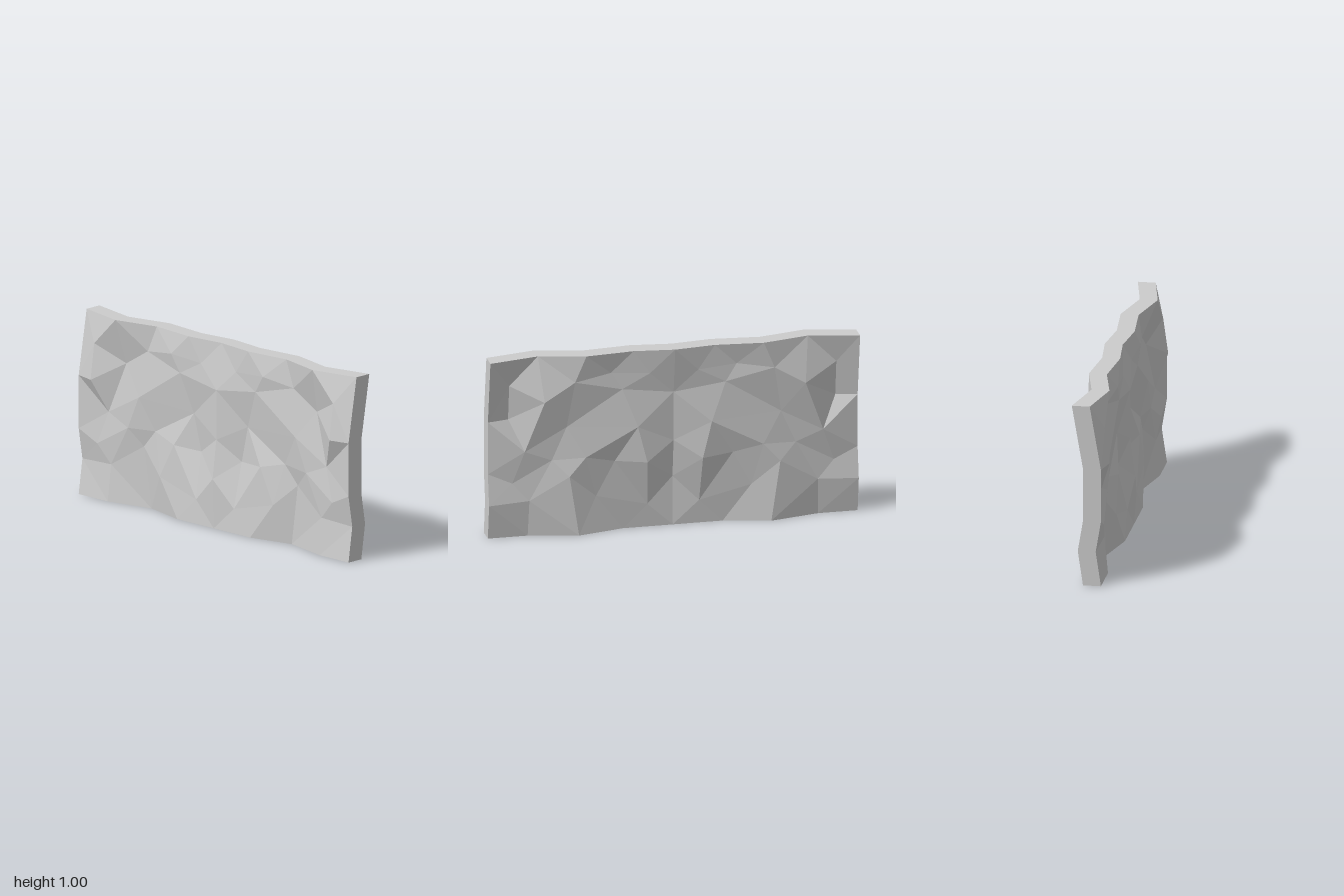
import * as THREE from 'three';

const THICKNESS = 0.096;

// Right half of the faceted relief: outline from top centre to bottom centre (x, y, z)
const outline = [
  [0, 1, 0.005], [0.22, 1, 0.03], [0.48, 1, 0.005], [0.73, 1, 0.063], [1, 1, 0.005],
  [1, 0.65, 0.065], [1, 0.36, 0.065], [1, 0.19, 0.037], [1, 0, 0.065],
  [0.785, 0, 0.065], [0.52, 0, 0.005], [0.27, 0, 0.065], [0, 0, 0.065],
];

// Bumps and hollows inside the half, including the centre line
const relief = [
  [0.885, 0.845, 0.065], [0.885, 0.65, 0.092], [0.807, 0.48, 0.035], [0.706, 0.757, 0.004],
  [0.54, 0.855, 0.012], [0.34, 0.885, 0.04], [0.28, 0.79, 0.035], [0.13, 0.87, 0.03],
  [0, 0.75, 0.045], [0.58, 0.6, 0.04], [0.2, 0.58, 0.01], [0.48, 0.43, 0.015],
  [0.15, 0.38, 0.005], [0, 0.48, 0.045], [0.32, 0.39, 0.04], [0, 0.27, 0.073],
  [0.14, 0.13, 0.055], [0.42, 0.2, 0.045], [0.57, 0.33, 0.01],
  [0.78, 0.2, 0.045], [0.66, 0.42, 0.04], [0.87, 0.3, 0.058],
];

// Signed double area of a triangle seen from the front
const cross = (a, b, c) => (b[0] - a[0]) * (c[1] - a[1]) - (b[1] - a[1]) * (c[0] - a[0]);

// Delaunay rule: keep each triangle whose circumcircle holds no other point
function triangulate(pts) {
  const tris = [];
  const n = pts.length;
  for (let i = 0; i < n; i++) for (let j = i + 1; j < n; j++) for (let k = j + 1; k < n; k++) {
    const [a, b, c] = [pts[i], pts[j], pts[k]];
    const area = cross(a, b, c);
    if (Math.abs(area) < 1e-6) continue;
    const bx = b[0] - a[0], by = b[1] - a[1], cx = c[0] - a[0], cy = c[1] - a[1];
    const bb = bx * bx + by * by, cc = cx * cx + cy * cy;
    const ux = (cy * bb - by * cc) / (2 * area), uy = (bx * cc - cx * bb) / (2 * area);
    const r = Math.hypot(ux, uy) - 1e-9;
    const empty = pts.every((p) => p === a || p === b || p === c ||
      Math.hypot(p[0] - a[0] - ux, p[1] - a[1] - uy) >= r);
    if (empty) tris.push(area > 0 ? [a, b, c] : [a, c, b]);
  }
  return tris;
}

const mirror = ([x, y, z]) => [-x, y, z];
const toBack = ([x, y, z]) => [x, y, z - THICKNESS];

function makeMesh(name, tris, material) {
  const geometry = new THREE.BufferGeometry();
  geometry.setAttribute('position', new THREE.Float32BufferAttribute(tris.flat(2), 3));
  geometry.computeVertexNormals();
  const mesh = new THREE.Mesh(geometry, material);
  mesh.name = name;
  return mesh;
}

export function createModel() {
  const group = new THREE.Group();
  group.name = 'rockPanel';
  const material = new THREE.MeshStandardMaterial({ color: 0xcccccc, flatShading: true });

  // Front face: the half relief and its mirror image
  const half = triangulate([...outline, ...relief]);
  const front = [...half, ...half.map(([a, b, c]) => [mirror(a), mirror(c), mirror(b)])];

  // Back face: the same relief set back by the thickness
  const back = front.map(([a, b, c]) => [toBack(a), toBack(c), toBack(b)]);

  // Rim joining both faces
  const rim = [];
  for (let i = 0; i < outline.length - 1; i++) {
    const a = outline[i], b = outline[i + 1];
    for (const [p, q] of [[a, b], [mirror(b), mirror(a)]]) {
      rim.push([p, q, toBack(q)], [p, toBack(q), toBack(p)]);
    }
  }

  group.add(
    makeMesh('frontFace', front, material),
    makeMesh('backFace', back, material),
    makeMesh('rim', rim, material),
  );
  return group;
}
